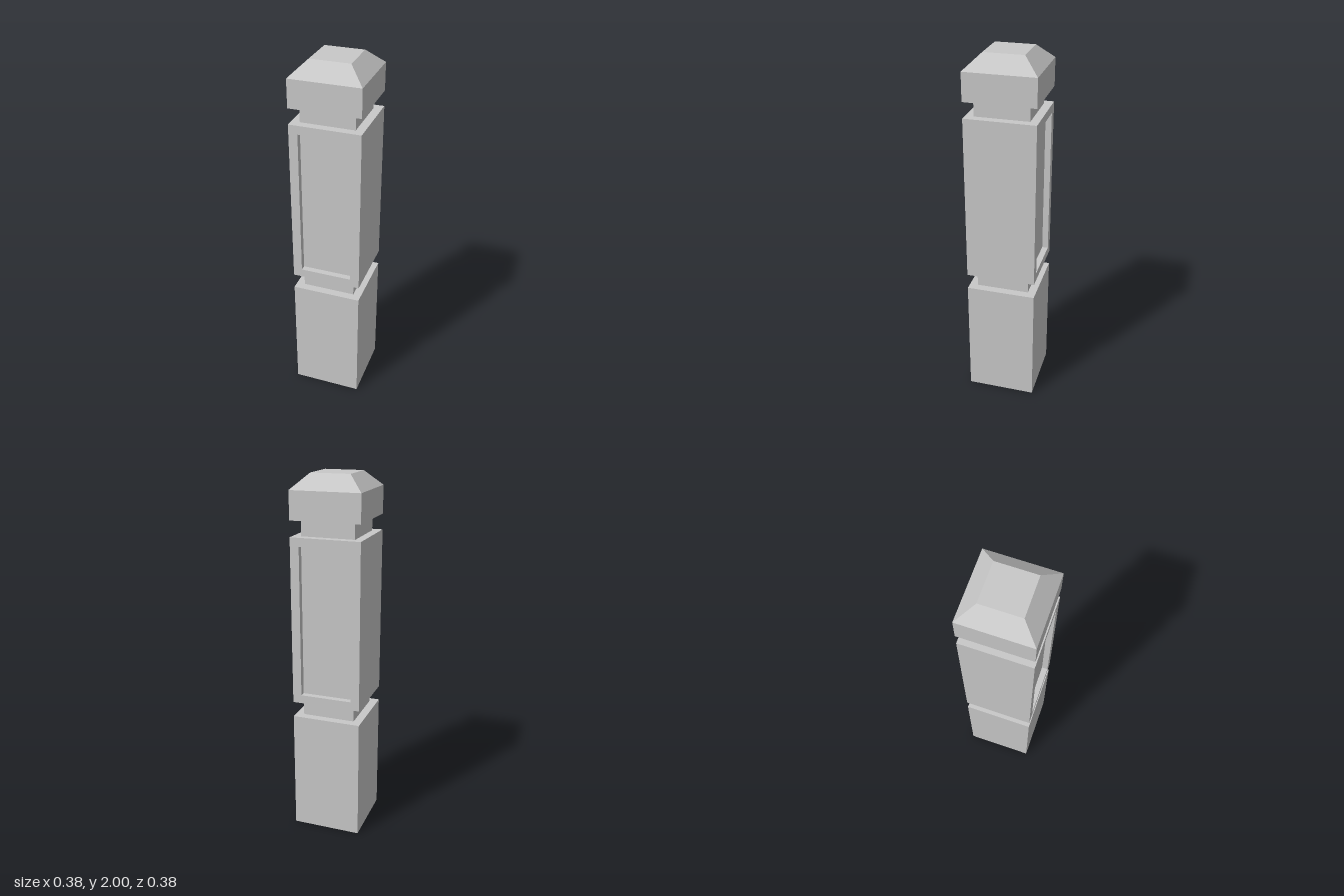
import * as THREE from 'three';

const HALF = 0.191;      // half width of the post
const NECK = 0.146;      // half width of the grooves
const RECESS = 0.033;    // depth of the sunken panels

export function createModel() {
  const post = new THREE.Group();
  post.name = 'newelPost';
  const stone = new THREE.MeshStandardMaterial({ color: 0xc8c8c8 });
  stone.name = 'paleGrey';

  const add = (name, geometry, y = 0, z = 0) => {
    const mesh = new THREE.Mesh(geometry, stone);
    mesh.name = name;
    mesh.position.set(0, y, z);
    post.add(mesh);
    return mesh;
  };
  // Square block between two heights
  const block = (name, half, y0, y1, halfDepth = half) =>
    add(name, new THREE.BoxGeometry(half * 2, y1 - y0, halfDepth * 2), (y0 + y1) / 2);

  block('base', HALF, 0, 0.682);
  block('lowerNeck', NECK, 0.682, 0.768);
  block('shaftCore', HALF, 0.768, 1.684, HALF - RECESS);
  block('upperNeck', NECK, 1.684, 1.769);
  block('capBlock', HALF, 1.769, 1.92);

  // Raised frames leaving a sunken panel on the front and back
  const rect = (path, w, y0, y1) =>
    path.moveTo(-w, y0).lineTo(w, y0).lineTo(w, y1).lineTo(-w, y1).closePath();
  const outline = new THREE.Shape();
  rect(outline, HALF, 0.768, 1.684);
  const opening = new THREE.Path();
  rect(opening, 0.142, 0.815, 1.637);
  outline.holes.push(opening);
  const frame = new THREE.ExtrudeGeometry(outline, { depth: RECESS, bevelEnabled: false });
  add('frontPanelFrame', frame, 0, HALF - RECESS);
  add('backPanelFrame', frame, 0, RECESS - HALF).rotation.y = Math.PI;

  // Flat-topped pyramid: a box with its upper corners drawn in
  const cap = new THREE.BoxGeometry(HALF * 2, 0.08, HALF * 2).toNonIndexed();
  const p = cap.attributes.position;
  for (let i = 0; i < p.count; i++) {
    if (p.getY(i) > 0) {
      p.setX(i, Math.sign(p.getX(i)) * 0.107);
      p.setZ(i, Math.sign(p.getZ(i)) * 0.107);
    }
  }
  cap.computeVertexNormals();
  add('capTop', cap, 1.96);

  return post;
}
